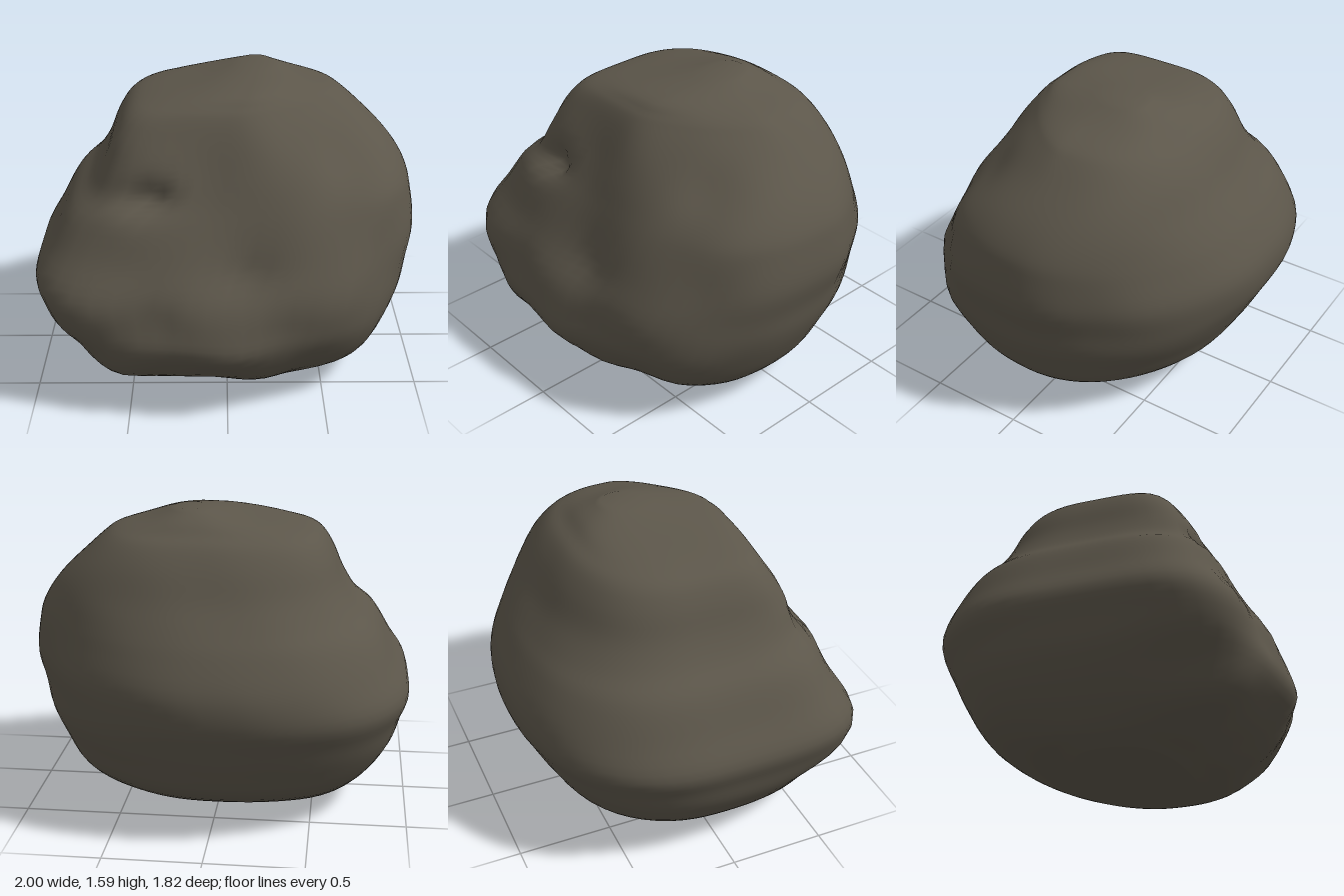
import * as THREE from 'three';

// Height rings: y, xMin, xMax, zMin, zMax
const RINGS = [
  [0.0, -0.56, 0.3, -0.14, 0.35],
  [0.03, -0.62, 0.5, -0.26, 0.43],
  [0.08, -0.7, 0.68, -0.47, 0.57],
  [0.2, -0.82, 0.81, -0.67, 0.77],
  [0.36, -0.93, 0.9, -0.77, 0.89],
  [0.5, -0.97, 0.95, -0.84, 0.88],
  [0.64, -1.0, 0.97, -0.9, 0.84],
  [0.8, -0.91, 1.0, -0.9, 0.74],
  [0.97, -0.82, 0.98, -0.82, 0.65],
  [1.08, -0.71, 0.95, -0.75, 0.59],
  [1.2, -0.63, 0.87, -0.67, 0.53],
  [1.34, -0.57, 0.73, -0.59, 0.46],
  [1.44, -0.5, 0.62, -0.51, 0.4],
  [1.49, -0.38, 0.54, -0.43, 0.35],
  [1.54, -0.13, 0.38, -0.36, 0.26],
  [1.59, 0.08, 0.24, -0.25, -0.04],
];

// Squareness of each ring's corners on the front at -x, front at +x and back at +x
const CORNERS = [
  [2.4, 2.4, 2], [2.6, 2.5, 2], [2.8, 2.6, 2], [2.7, 2.3, 2],
  [2.7, 2.1, 2], [3.5, 2.3, 2], [4.3, 2.6, 1.9], [5.5, 2.8, 1.8],
  [6, 2.8, 1.8], [5, 2.7, 1.85], [5.5, 2.4, 2.1], [5.5, 1.9, 2.5],
  [5, 1.6, 2.7], [4, 1.5, 2.7], [3, 1.5, 2.5], [2, 2, 2],
];
const BACK_LEFT = 2.5;

// Hollows (negative) and knobs (positive): x, y, z, radius, amount
const BUMPS = [
  [-0.4, 1.09, 0.56, 0.09, -0.12],
  [0.6, 1.2, 0.35, 0.16, -0.04],
  [-0.35, 0.55, 0.85, 0.12, -0.03],
  [-0.1, 0.25, 0.85, 0.12, -0.03],
  [-0.5, 0.22, 0.72, 0.16, 0.04],
  [0.35, 0.36, 0.82, 0.2, -0.03],
  [0.12, 0.74, 0.77, 0.1, -0.03],
  [0.68, 0.8, 0.44, 0.12, -0.05],
  [0.8, 0.8, -0.35, 0.16, -0.03],
];

const SEG = 72;
const ROWS = 60;

// Adds the hollows, plus rougher broken texture on the front face
function weather(p) {
  const out = new THREE.Vector3(p.x, (p.y - 0.75) * 0.7, p.z).normalize();
  let d = 0;
  for (const [x, y, z, r, a] of BUMPS) {
    const q = (p.x - x) ** 2 + (p.y - y) ** 2 + (p.z - z) ** 2;
    d += a * Math.exp(-q / (r * r));
  }
  const rough = THREE.MathUtils.smoothstep(p.z, 0.2, 0.6) * 0.01 + 0.002;
  d += rough * (Math.sin(9 * p.x + 5 * p.y) + Math.sin(11 * p.y - 7 * p.x + 4 * p.z) * Math.cos(8 * p.x));
  const fade = THREE.MathUtils.smoothstep(p.y, 0, 0.15) * (1 - THREE.MathUtils.smoothstep(p.y, 1.45, 1.59));
  return p.addScaledVector(out, d * fade);
}

function boulderGeometry() {
  // Smooth curve through the rings, with their corner values
  const samples = RINGS.flatMap((r, i) => [...r, ...CORNERS[i]]);
  const curve = new THREE.CubicInterpolant(RINGS.map((_, i) => i), samples, 8, new Float32Array(8));

  const pos = [], index = [];
  for (let i = 0; i <= ROWS; i++) {
    const [y, x0, x1, z0, z1, frontLow, frontHigh, backHigh] = curve.evaluate((i / ROWS) * (RINGS.length - 1));
    const cx = (x0 + x1) / 2, cz = (z0 + z1) / 2;
    for (let j = 0; j < SEG; j++) {
      const a = (j / SEG) * Math.PI * 2, c = Math.cos(a), s = Math.sin(a);
      const e = s > 0 ? (c < 0 ? frontLow : frontHigh) : (c < 0 ? BACK_LEFT : backHigh);
      const r = (Math.abs(c) ** e + Math.abs(s) ** e) ** (-1 / e);
      const p = new THREE.Vector3(cx + r * c * (x1 - x0) / 2, y, cz + r * s * (z1 - z0) / 2);
      pos.push(...weather(p).toArray());
    }
  }
  for (let i = 0; i < ROWS; i++) {
    for (let j = 0; j < SEG; j++) {
      const a = i * SEG + j, b = i * SEG + (j + 1) % SEG;
      index.push(a, a + SEG, b, b, a + SEG, b + SEG);
    }
  }

  // Close the underside and the crown
  const base = pos.length / 3, last = ROWS * SEG;
  for (const r of [RINGS[0], RINGS[RINGS.length - 1]]) pos.push((r[1] + r[2]) / 2, r[0], (r[3] + r[4]) / 2);
  for (let j = 0; j < SEG; j++) {
    const k = (j + 1) % SEG;
    index.push(base, j, k, base + 1, last + k, last + j);
  }

  const g = new THREE.BufferGeometry();
  g.setAttribute('position', new THREE.Float32BufferAttribute(pos, 3));
  g.setIndex(index);
  g.computeVertexNormals();
  return g;
}

export function createModel() {
  const group = new THREE.Group();
  group.name = 'rock';
  const stone = new THREE.MeshStandardMaterial({ color: 0x5c564a });
  stone.name = 'dark stone';
  const boulder = new THREE.Mesh(boulderGeometry(), stone);
  boulder.name = 'boulder';
  group.add(boulder);
  return group;
}
